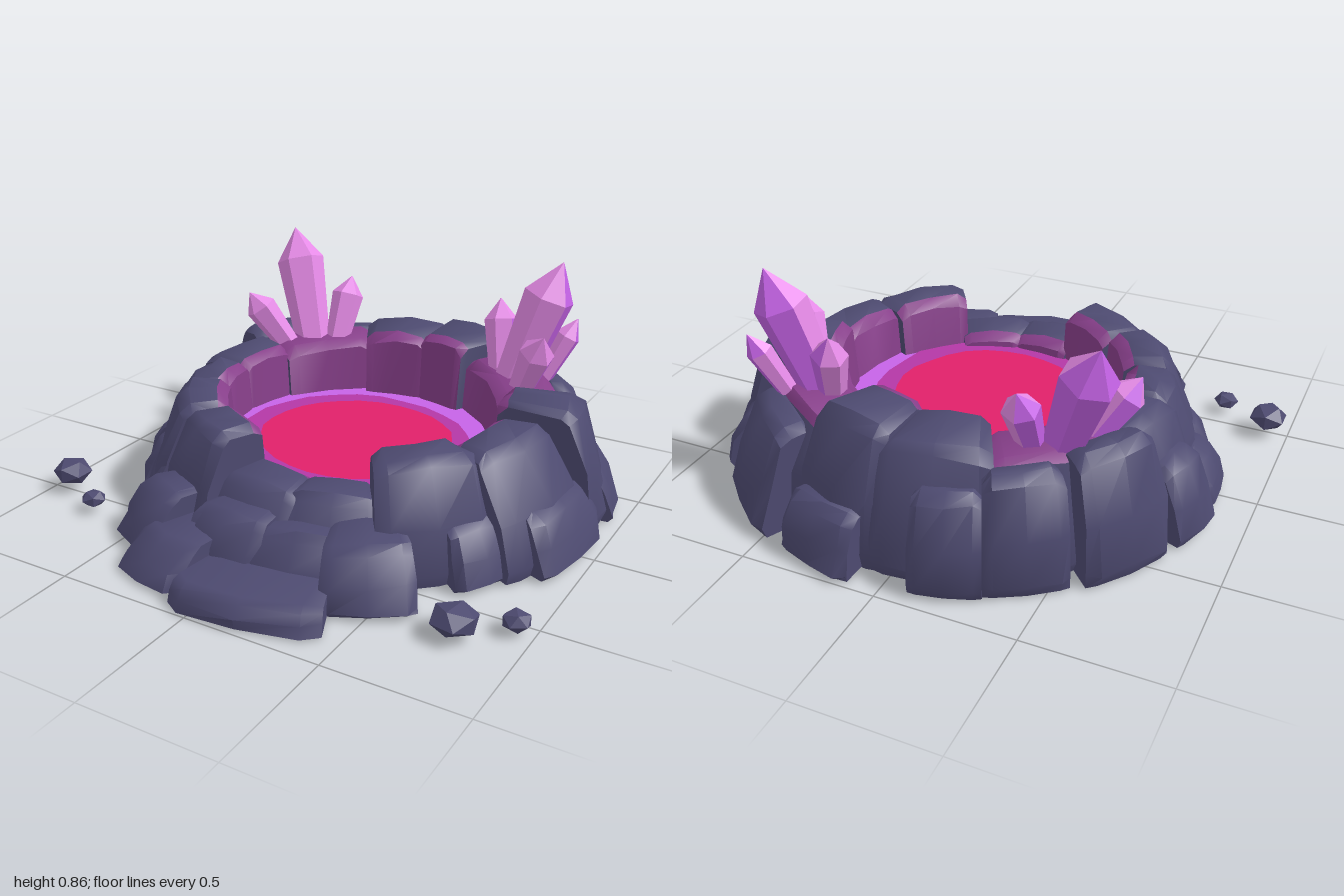
import * as THREE from 'three';
import { toCreasedNormals } from 'three/addons/utils/BufferGeometryUtils.js';

const mat = (name, color) => {
  const m = new THREE.MeshStandardMaterial({ color });
  m.name = name;
  return m;
};

// Centre of the pool
const CX = 0.03, CZ = -0.08;

// Repeatable value from -0.5 to 0.5
const noise = (n) => {
  const s = Math.sin(n * 127.1 + 11.7) * 43758.5453;
  return s - Math.floor(s) - 0.5;
};

// Wedge of rock swept around the pool; material 0 is rock, material 1 the glowing inner side
function stoneGeometry([a0, a1, rIn, rTop, rOut, h, glow], seed) {
  const b = Math.min(0.03, h * 0.15);
  const section = [
    [rIn - 0.03, 0.03], [rIn, h - b], [rIn + 0.04, h], [rTop - 0.03, h],
    [rTop + 0.01, h - b], [rTop + (rOut - rTop) * 0.68, h * 0.52],
    [rOut, h * 0.14], [rOut - 0.02, 0.015],
  ];
  const n = section.length;
  const mr = (rIn + rOut) / 2, my = h * 0.5;
  const tilt = noise(seed) * h * 0.1;
  const stations = [[0, 0.86], [0.12, 0.98], [0.5, 1.01], [0.88, 0.98], [1, 0.86]].map(([t, s], i) => {
    const a = THREE.MathUtils.degToRad(a0 - 1 + (a1 - a0 + 2) * t);
    return section.map(([r, y], j) => {
      const k = seed * 53 + i * 9 + j;
      const outer = j > 2 && j < 7;
      const rr = mr + (r - mr) * (outer ? s : 1 - (1 - s) * 0.4) + (outer ? noise(k) * 0.025 : 0);
      let yy = y;
      if (j > 0 && j < 6) yy = my + (y - my) * s + (t - 0.5) * tilt + noise(k + 500) * h * 0.03;
      return [CX + rr * Math.cos(a), yy, CZ + rr * Math.sin(a)];
    });
  });
  const rock = [], inner = [];
  for (let i = 0; i < stations.length - 1; i++) {
    for (let j = 0; j < n; j++) {
      const A = stations[i][j], B = stations[i][(j + 1) % n];
      const C = stations[i + 1][(j + 1) % n], D = stations[i + 1][j];
      (j < glow ? inner : rock).push(...A, ...D, ...C, ...A, ...C, ...B);
    }
  }
  const first = stations[0], last = stations[stations.length - 1];
  for (let j = 1; j < n - 1; j++) {
    rock.push(...first[0], ...first[j], ...first[j + 1]);
    rock.push(...last[0], ...last[j + 1], ...last[j]);
  }
  const g = new THREE.BufferGeometry();
  g.setAttribute('position', new THREE.Float32BufferAttribute([...rock, ...inner], 3));
  g.addGroup(0, rock.length / 3, 0);
  g.addGroup(rock.length / 3, inner.length / 3, 1);
  return toCreasedNormals(g, 0.75);
}

// Six-sided crystal that swells towards a pointed end; faces turned outward are violet
function crystalGeometry(base, tip, r, limit) {
  const from = new THREE.Vector3(...base), to = new THREE.Vector3(...tip);
  const len = from.distanceTo(to);
  const profile = [[0.001, 0], [r * 0.7, 0], [r, len * 0.74], [0.001, len]]
    .map(([x, y]) => new THREE.Vector2(x, y));
  const g = new THREE.LatheGeometry(profile, 6).toNonIndexed();
  g.scale(1, 1, 0.9);
  g.applyQuaternion(new THREE.Quaternion().setFromUnitVectors(
    new THREE.Vector3(0, 1, 0), to.sub(from).normalize()));
  g.translate(...base);
  g.computeVertexNormals();
  const nor = g.attributes.normal, side = Math.sign(base[0]);
  for (let i = 0; i < nor.count; i += 3) {
    const outward = (nor.getX(i) * side - nor.getZ(i)) * 0.7;
    g.addGroup(i, 3, outward < limit ? 0 : 1);
  }
  return g;
}

// Flat pool layer with a wavy outline
function layerGeometry(rx, rz, wave, seed) {
  const pts = [];
  for (let i = 0; i < 28; i++) {
    const a = (i / 28) * Math.PI * 2, k = 1 + noise(seed + i) * wave;
    pts.push(new THREE.Vector2(Math.cos(a) * rx * k, Math.sin(a) * rz * k));
  }
  return new THREE.ShapeGeometry(new THREE.Shape(pts)).rotateX(-Math.PI / 2);
}

export function createModel() {
  const model = new THREE.Group();
  const rock = mat('slate rock', 0x4d4a70);
  const wall = mat('glowing wall', 0x873f8a);
  const violet = mat('violet', 0xd66cfa);
  const magenta = mat('magenta', 0xb438a6);
  const crimson = mat('crimson', 0xe0206a);
  const pink = mat('pink crystal', 0xf494f6);

  const add = (name, geometry, material, parent = model) => {
    const m = new THREE.Mesh(geometry, material);
    m.name = name;
    parent.add(m);
    return m;
  };
  const group = (name) => {
    const g = new THREE.Group();
    g.name = name;
    model.add(g);
    return g;
  };

  // Main ring: start angle, end angle, inner, top and outer radius, height, glowing bands
  const ring = group('rockRing');
  [
    [-116, -88, 0.465, 0.73, 0.84, 0.475, 2],
    [-88, -65, 0.465, 0.72, 0.84, 0.505, 2],
    [-65, -23, 0.5, 0.73, 0.84, 0.43, 4],
    [-23, -4, 0.53, 0.81, 0.93, 0.47, 2],
    [-4, 26, 0.535, 0.72, 0.9, 0.42, 2],
    [26, 56, 0.5, 0.68, 0.8, 0.425, 2],
    [56, 82, 0.445, 0.63, 0.75, 0.28, 2],
    [82, 108, 0.445, 0.64, 0.76, 0.285, 2],
    [108, 134, 0.47, 0.65, 0.77, 0.42, 2],
    [134, 160, 0.5, 0.68, 0.8, 0.43, 2],
    [160, 182, 0.52, 0.68, 0.82, 0.42, 2],
    [182, 206, 0.52, 0.72, 0.84, 0.43, 2],
    [206, 244, 0.5, 0.72, 0.81, 0.43, 4],
  ].forEach((s, i) => add('ringStone', stoneGeometry(s, i + 1), [rock, wall], ring));

  // Outer stones leaning on the ring
  const skirt = group('outerStones');
  [
    [-113, -99, 0.66, 0.82, 0.9, 0.36],
    [-84, -66, 0.66, 0.86, 0.93, 0.23],
    [-60, -37, 0.7, 0.82, 0.95, 0.4],
    [-30, -13, 0.72, 0.88, 0.97, 0.24],
    [-4, 19, 0.68, 0.87, 0.95, 0.23],
    [24, 38, 0.62, 0.78, 0.86, 0.23],
    [134, 147, 0.58, 0.74, 0.82, 0.26],
    [150, 163, 0.6, 0.77, 0.85, 0.21],
    [167, 181, 0.62, 0.82, 0.9, 0.19],
    [185, 198, 0.62, 0.83, 0.92, 0.3],
    [203, 223, 0.68, 0.81, 0.91, 0.46],
    [228, 245, 0.69, 0.8, 0.89, 0.42],
  ].forEach((s, i) => add('outerStone', stoneGeometry([...s, 0], i + 31), [rock, wall], skirt));

  // Low slabs stepping down at the front
  const steps = group('frontSteps');
  [
    [50, 68, 0.54, 0.85, 0.95, 0.22],
    [66, 88, 0.52, 0.77, 0.86, 0.2],
    [86, 106, 0.52, 0.78, 0.86, 0.22],
    [98, 114, 0.55, 0.93, 1.03, 0.15],
    [112, 127, 0.55, 0.84, 0.95, 0.23],
    [68, 96, 0.6, 1.04, 1.08, 0.1],
  ].forEach((s, i) => add('stepSlab', stoneGeometry([...s, 0], i + 61), [rock, wall], steps));

  // Pool surface in three colours
  const pool = group('pool');
  pool.position.set(CX, 0, CZ + 0.04);
  add('poolRim', layerGeometry(0.54, 0.52, 0, 1), violet, pool).position.set(0.01, 0.225, -0.02);
  add('poolBand', layerGeometry(0.46, 0.44, 0.05, 40), magenta, pool).position.set(-0.01, 0.231, 0.02);
  add('poolCentre', layerGeometry(0.37, 0.35, 0.04, 80), crimson, pool).position.y = 0.237;

  // Underside of the pool
  add('poolBase', new THREE.CircleGeometry(0.46, 28).rotateX(Math.PI / 2), crimson, pool)
    .position.set(0.01, 0.02, -0.02);
  add('baseRing', new THREE.RingGeometry(0.43, 0.66, 28).rotateX(Math.PI / 2), wall, pool)
    .position.set(0.01, 0.008, -0.02);

  // Crystal clusters on the two back corners: base, tip, radius, how far outward violet starts
  const clusters = {
    leftCrystals: [
      [[0.45, 0.36, -0.5], [0.61, 0.87, -0.58], 0.1, 0.15],
      [[0.41, 0.38, -0.52], [0.35, 0.68, -0.62], 0.067, 0.65],
      [[0.52, 0.38, -0.43], [0.65, 0.66, -0.31], 0.067, 0.65],
      [[0.55, 0.38, -0.56], [0.66, 0.64, -0.64], 0.05, 0.4],
    ],
    rightCrystals: [
      [[-0.43, 0.36, -0.49], [-0.6, 0.84, -0.62], 0.1, 0.15],
      [[-0.35, 0.38, -0.53], [-0.345, 0.655, -0.66], 0.067, 0.65],
      [[-0.5, 0.38, -0.42], [-0.65, 0.62, -0.34], 0.067, 0.65],
    ],
  };
  for (const [name, list] of Object.entries(clusters)) {
    const g = group(name);
    for (const c of list) add('crystal', crystalGeometry(...c), [pink, violet], g);
  }

  // Loose pebbles: x, y, z, radius, half height
  [
    [-0.92, 0.085, 0.49, 0.074, 0.052],
    [-0.73, 0.06, 0.59, 0.048, 0.032],
    [0.78, 0.07, 0.66, 0.085, 0.052],
    [0.94, 0.055, 0.55, 0.052, 0.036],
  ].forEach(([x, y, z, r, h], i) => {
    const p = add('pebble', new THREE.IcosahedronGeometry(1, 0), rock);
    p.scale.set(r, h, r);
    p.rotation.y = i * 0.7;
    p.position.set(x, y, z);
  });

  return model;
}
